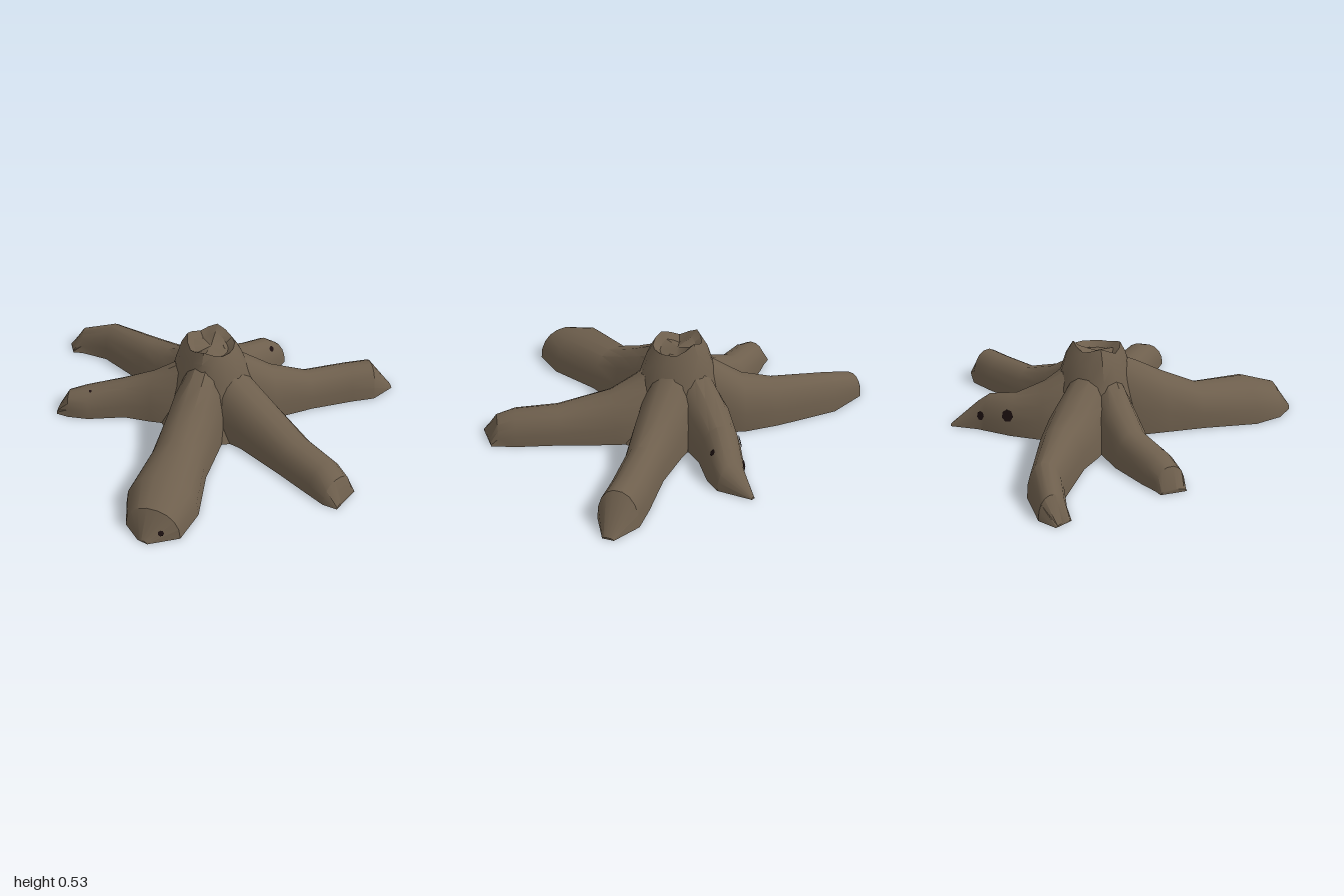
import * as THREE from 'three';
import { toCreasedNormals } from 'three/addons/utils/BufferGeometryUtils.js';

const SIDES = 9; // arch segments of a root section

// Skin a list of equal closed rings (arrays of Vector3), capped at both ends
function loft(rings) {
  const k = rings[0].length, pos = [];
  const tri = (...p) => p.forEach((v) => pos.push(v.x, v.y, v.z));
  const middle = (ring) => ring.reduce((s, v) => s.add(v), new THREE.Vector3()).divideScalar(k);
  for (let i = 0; i < rings.length - 1; i++) {
    for (let j = 0; j < k; j++) {
      const n = (j + 1) % k, a = rings[i], b = rings[i + 1];
      tri(a[j], b[j], a[n]);
      tri(b[j], b[n], a[n]);
    }
  }
  const first = rings[0], last = rings[rings.length - 1];
  const c0 = middle(first), c1 = middle(last);
  for (let j = 0; j < k; j++) {
    const n = (j + 1) % k;
    tri(c0, first[j], first[n]);
    tri(c1, last[n], last[j]);
  }
  const g = new THREE.BufferGeometry();
  g.setAttribute('position', new THREE.Float32BufferAttribute(pos, 3));
  return toCreasedNormals(g, 0.6);
}

// Point on the arch of root station i; stations are [x, z, halfWidth, height]
function archPoint(st, i, phi) {
  const [x, z, w, h] = st[i];
  const p = st[Math.max(i - 1, 0)], q = st[Math.min(i + 1, st.length - 1)];
  const d = new THREE.Vector2(q[0] - p[0], q[1] - p[1]).normalize();
  const c = Math.cos(phi), s = Math.sin(phi);
  const side = w * Math.sign(c) * Math.pow(Math.abs(c), 0.9);
  return new THREE.Vector3(x - d.y * side, h * Math.pow(Math.max(s, 0), 0.9), z + d.x * side);
}

function rootGeometry(st) {
  return loft(st.map((_, i) =>
    Array.from({ length: SIDES + 1 }, (_, j) => archPoint(st, i, (Math.PI * j) / SIDES))));
}

// Thin dark hollow lying on a root between stations i and i + 1
function hollow(st, i, f, phi, radius, material) {
  const at = (a) => archPoint(st, i, a).lerp(archPoint(st, i + 1, a), f);
  const along = archPoint(st, i + 1, phi).sub(archPoint(st, i, phi));
  const normal = along.cross(at(phi + 0.1).sub(at(phi - 0.1))).normalize();
  const mesh = new THREE.Mesh(new THREE.CircleGeometry(radius, 7), material);
  const p = at(phi);
  mesh.position.copy(p).addScaledVector(normal, 0.004);
  mesh.lookAt(p.clone().addScaledVector(normal, 1));
  mesh.name = 'hollow';
  return mesh;
}

const ROOTS = {
  frontRoot: [[0.03, -0.12, 0.13, 0.46], [0.03, 0.05, 0.16, 0.38], [0.03, 0.2, 0.16, 0.3], [0.03, 0.4, 0.16, 0.21],
    [0.045, 0.7, 0.195, 0.21], [0.055, 0.88, 0.15, 0.15], [0.03, 0.97, 0.03, 0.01]],
  frontLeftRoot: [[0.1, -0.16, 0.14, 0.45], [0.24, -0.1, 0.17, 0.33], [0.38, -0.03, 0.15, 0.25], [0.62, 0.14, 0.125, 0.17],
    [0.81, 0.27, 0.115, 0.16], [0.89, 0.33, 0.105, 0.12], [0.945, 0.35, 0.09, 0.02]],
  backLeftRoot: [[0.1, -0.22, 0.12, 0.46], [0.22, -0.29, 0.16, 0.36], [0.35, -0.36, 0.14, 0.27], [0.54, -0.48, 0.11, 0.19],
    [0.75, -0.62, 0.11, 0.19], [0.87, -0.69, 0.11, 0.19], [0.99, -0.76, 0.03, 0.01]],
  backRoot: [[0.05, -0.26, 0.12, 0.46], [0.05, -0.36, 0.15, 0.37], [0.07, -0.47, 0.14, 0.29], [0.13, -0.62, 0.115, 0.21],
    [0.22, -0.76, 0.1, 0.18], [0.24, -0.82, 0.09, 0.13], [0.24, -0.98, 0.01, 0.01]],
  backRightRoot: [[-0.03, -0.22, 0.12, 0.44], [-0.13, -0.29, 0.16, 0.36], [-0.25, -0.38, 0.16, 0.27], [-0.4, -0.47, 0.13, 0.23],
    [-0.71, -0.6, 0.095, 0.2], [-0.91, -0.6, 0.075, 0.13], [-0.98, -0.56, 0.05, 0.01]],
  frontRightRoot: [[-0.03, -0.15, 0.1, 0.43], [-0.15, -0.13, 0.13, 0.34], [-0.28, -0.11, 0.125, 0.26], [-0.45, -0.085, 0.11, 0.19],
    [-0.65, 0, 0.105, 0.15], [-0.75, 0.03, 0.085, 0.12], [-0.81, 0.035, 0.07, 0.02]],
};

// Trunk: broken rim above, flaring between the roots to the ground
function trunkGeometry() {
  const cx = 0.04, cz = -0.18, n = 16;
  const rimR = [0.15, 0.15, 0.15, 0.14, 0.15, 0.14, 0.14, 0.15];
  const rimY = [0.47, 0.47, 0.5, 0.47, 0.52, 0.49, 0.53, 0.48];
  const baseR = [0.38, 0.33, 0.3, 0.3, 0.33, 0.34, 0.32, 0.34];
  const around = (list, j) => (list[j >> 1] + list[((j + 1) >> 1) % 8]) / 2;
  const ring = (flare, y, inset = 1, drop = 0) => Array.from({ length: n }, (_, j) => {
    const a = (2 * Math.PI * j) / n;
    const r = THREE.MathUtils.lerp(around(rimR, j), around(baseR, j), flare) * inset;
    return new THREE.Vector3(cx + r * Math.cos(a), around(rimY, j) * y - drop, cz + r * Math.sin(a));
  });
  return loft([ring(1, 0), ring(0.73, 0.2), ring(0.5, 0.45), ring(0.3, 0.68), ring(0.12, 0.88),
    ring(-0.08, 1), ring(0, 0.98, 0.65, 0.02)]);
}

export function createModel() {
  const bark = new THREE.MeshStandardMaterial({ color: 0x6e5f4d });
  const dark = new THREE.MeshStandardMaterial({ color: 0x1c1010 });
  bark.name = 'bark';
  dark.name = 'darkHollow';

  const model = new THREE.Group();
  model.name = 'treeStump';

  const trunk = new THREE.Mesh(trunkGeometry(), bark);
  trunk.name = 'trunk';
  model.add(trunk);

  for (const [name, stations] of Object.entries(ROOTS)) {
    const root = new THREE.Mesh(rootGeometry(stations), bark);
    root.name = name;
    model.add(root);
  }

  // Small rotten hollows: root, station, fraction, arch angle, radius
  const hollows = [
    ['backRoot', 3, 0.1, 2.6, 0.036], ['backRoot', 4, 0.6, 2.6, 0.026], ['backRoot', 3, 0.85, 0.9, 0.018],
    ['frontRoot', 5, 0.5, 2.5, 0.016], ['frontRightRoot', 3, 0.9, 1.9, 0.009],
  ];
  for (const [name, i, f, phi, r] of hollows) model.add(hollow(ROOTS[name], i, f, phi, r, dark));

  return model;
}
